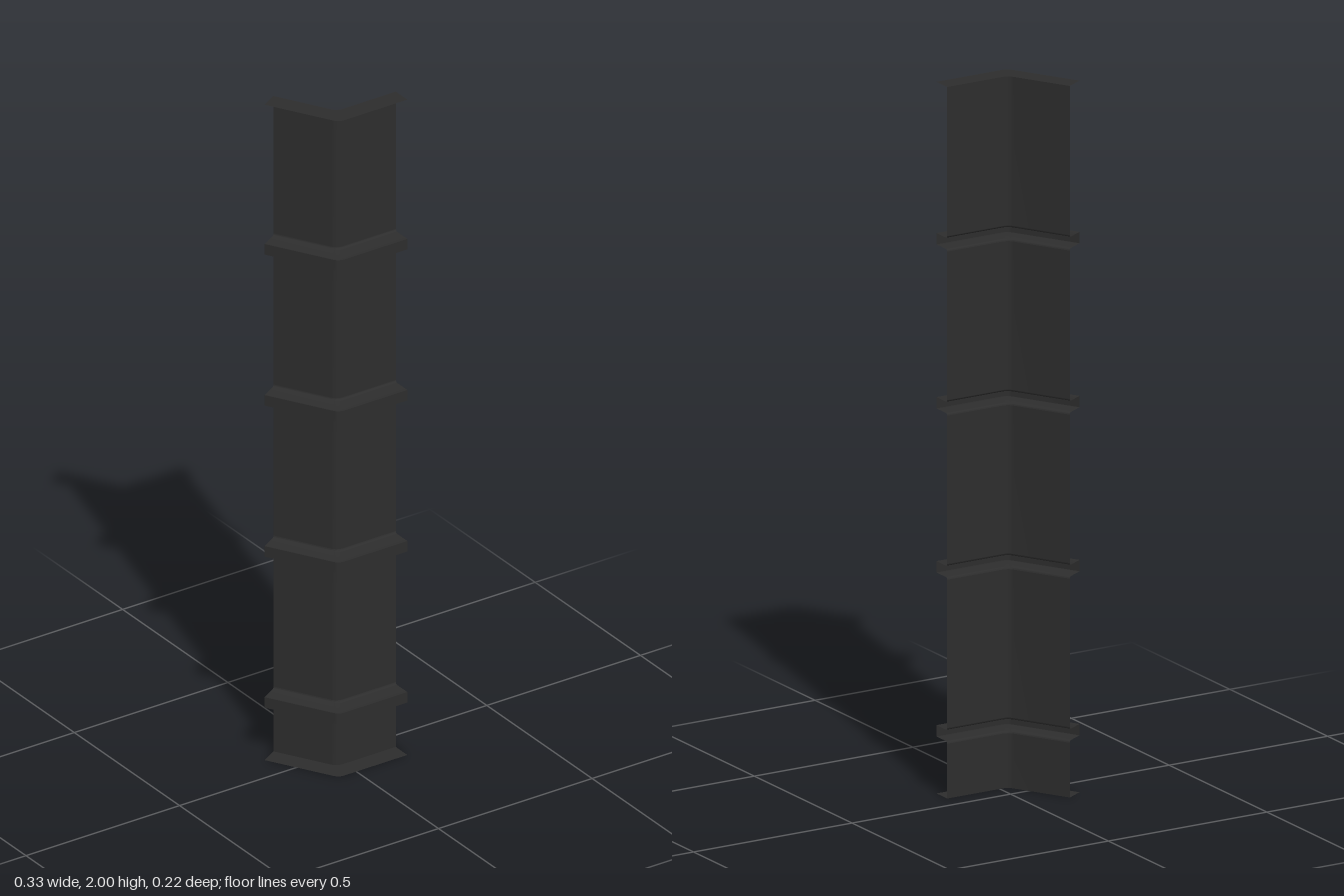
import * as THREE from 'three';
import { toCreasedNormals } from 'three/addons/utils/BufferGeometryUtils.js';

const DEPTH = 0.055;   // how far ribs and end flanges stand out from the panels
const HEIGHT = 2;

// Plan line of the bent strip: n = 0 is the panel line, n = DEPTH the rib face.
function planLine(n) {
  const c60 = 0.5, s60 = Math.sqrt(3) / 2, t = 0.018;
  const corner = new THREE.Vector2(-0.0245 - n * Math.tan(Math.PI / 6), 0.055 + n);
  const back = new THREE.Vector2(-0.119 - n * s60, -0.11 + n * c60);
  const before = new THREE.Vector2(corner.x - t * c60, corner.y - t * s60);
  const after = new THREE.Vector2(corner.x + t, corner.y);
  const bend = new THREE.QuadraticBezierCurve(before, corner, after).getPoints(8);
  return [back, ...bend, new THREE.Vector2(0.166, corner.y)];
}

// Thin sheet swept along the plan line; profile points are [y, n] from bottom to top.
function sheet(profile) {
  const rows = profile.map(([y, n]) => planLine(n).map(p => [p.x, y, p.y]));
  const cols = rows[0].length;
  const index = [];
  for (let r = 0; r < rows.length - 1; r++) {
    for (let c = 0; c < cols - 1; c++) {
      const a = r * cols + c, b = a + 1, d = a + cols, e = d + 1;
      index.push(a, b, e, a, e, d);
    }
  }
  const geo = new THREE.BufferGeometry();
  geo.setAttribute('position', new THREE.Float32BufferAttribute(rows.flat(2), 3));
  geo.setIndex(index);
  return toCreasedNormals(geo, 0.7);
}

// Folded rib: rounded lip, flange, face, flange, rounded lip.
function ribProfile(y) {
  const half = 0.016, r = 0.006, lower = [];
  for (let i = 0; i <= 4; i++) {
    const a = (i / 4) * Math.PI / 2;
    lower.push([-half - r + r * Math.sin(a), r - r * Math.cos(a)]);
  }
  lower.push([-half, DEPTH]);
  const upper = lower.map(([h, n]) => [-h, n]).reverse();
  return [...lower, ...upper].map(([h, n]) => [y + h, n]);
}

export function createModel() {
  const group = new THREE.Group();
  const metal = new THREE.MeshStandardMaterial({ color: 0x2d2d2d, side: THREE.DoubleSide });
  metal.name = 'charcoal metal';
  const add = (name, profile) => {
    const mesh = new THREE.Mesh(sheet(profile), metal);
    mesh.name = name;
    group.add(mesh);
  };

  const ribs = [0.176, 0.637, 1.098, 1.559];
  const gap = 0.022;

  // Flat panels between the ribs
  const starts = [0, ...ribs.map(y => y + gap)];
  const ends = [...ribs.map(y => y - gap), HEIGHT];
  starts.forEach((y, i) => add('panel', [[y, 0], [ends[i], 0]]));

  // Projecting hollow ribs
  ribs.forEach(y => add('rib', ribProfile(y)));

  // Flat end flanges
  add('bottomFlange', [[0, DEPTH], [0, 0]]);
  add('topFlange', [[HEIGHT, 0], [HEIGHT, DEPTH]]);
  return group;
}
